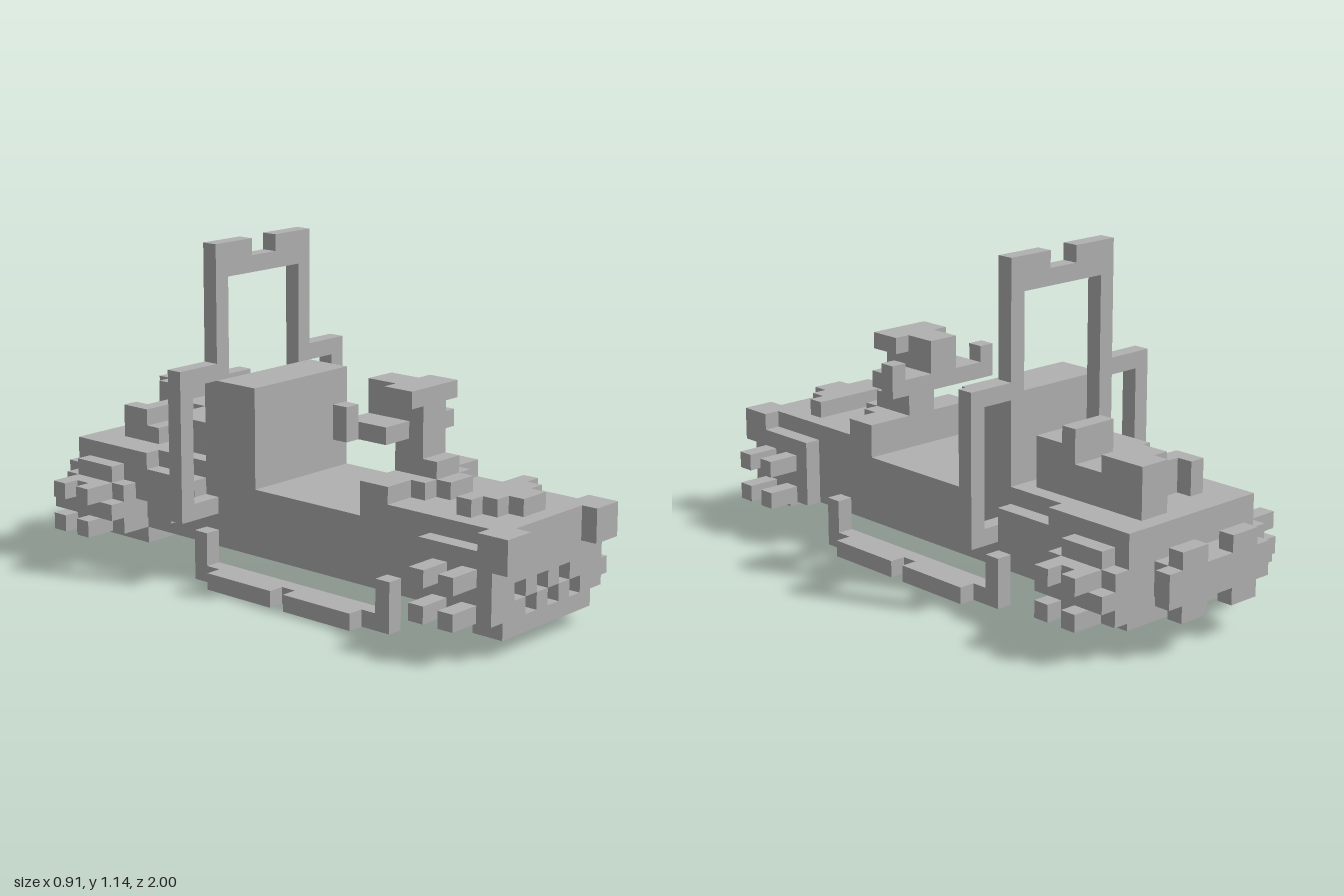
import * as THREE from 'three';

const U = 2 / 35; // edge of one cube

export function createModel() {
  const root = new THREE.Group();
  root.name = 'blockVehicle';
  const grey = new THREE.MeshStandardMaterial({ color: 0xb0b0b0 });
  grey.name = 'grey';

  const part = (name) => {
    const g = new THREE.Group();
    g.name = name;
    root.add(g);
    return g;
  };
  // Box from cube ranges; d counts cubes back from the front end
  const box = (g, x0, x1, y0, y1, d0, d1) => {
    const m = new THREE.Mesh(
      new THREE.BoxGeometry((x1 - x0) * U, (y1 - y0) * U, (d1 - d0) * U), grey);
    m.position.set((x0 + x1) / 2 * U, (y0 + y1) / 2 * U, 1 - (d0 + d1) / 2 * U);
    m.name = g.name + 'Block';
    g.add(m);
  };
  const pair = (g, x0, x1, ...r) => {
    box(g, x0, x1, ...r);
    box(g, -x1, -x0, ...r);
  };

  // Main hull, with a ribbed underside
  const hull = part('hull');
  box(hull, -4, 4, 3, 6, 6, 28);
  pair(hull, 3, 4, 2, 3, 6, 28);
  for (const d of [6, 11, 16, 21, 26]) box(hull, -3, 3, 2, 3, d, d + (d === 26 ? 2 : 1));

  // Nose with a zigzag grille cut into its face
  const nose = part('nose');
  box(nose, -4, 4, 2, 7, 2, 6);
  box(nose, -4, 4, 6, 7, 6, 11);
  box(nose, -5, 5, 4, 7, 1, 2);
  pair(nose, 3, 5, 2, 4, 1, 2);
  for (const x of [-3, -1, 1]) {
    box(nose, x, x + 1, 2, 3, 1, 2);
    box(nose, x + 1, x + 2, 3, 4, 1, 2);
  }
  pair(nose, 4, 5, 2, 6, 2, 6);
  box(nose, -4, 4, 1, 2, 1, 3);

  const headlight = part('headlights');
  pair(headlight, 3, 5, 5, 7, 0, 2);

  // Stepped hood ornament
  const hood = part('hoodPlate');
  for (let i = 0; i < 3; i++) box(hood, -1 - i, 1 + i, 7, 8, 2 + i, 3 + i);

  // Side prongs, front and rear
  const prongs = part('prongs');
  for (const y of [2, 4]) for (const i of [0, 2]) {
    pair(prongs, 5, 7, y, y + 1, 2 + i, 3 + i);
    pair(prongs, 7, 8, y, y + 1, 29 + i, 30 + i);
  }

  // Steering column and handlebar
  const steering = part('steering');
  box(steering, -1, 1, 7, 8, 7, 11);
  pair(steering, 1, 2, 7, 8, 8, 11);
  pair(steering, 2, 4, 7, 8, 9, 11);
  box(steering, -1, 1, 8, 9, 8, 11);
  box(steering, -1, 1, 9, 13, 9, 11);
  box(steering, -1, 1, 10, 13, 11, 13);
  pair(steering, 1, 2, 12, 13, 9, 11);
  pair(steering, 1, 3, 10, 11, 10, 13);
  pair(steering, 3, 4, 10, 12, 12, 13);

  const seat = part('seatBack');
  box(seat, -4, 4, 6, 12, 19, 22);

  // Tall roll frame with side wings
  const frame = part('rollFrame');
  pair(frame, 3, 4, 6, 19, 22, 23);
  box(frame, -4, 4, 18, 19, 22, 23);
  pair(frame, 1, 4, 19, 20, 22, 23);
  pair(frame, 4, 7, 12, 13, 22, 23);
  pair(frame, 6, 7, 4, 12, 22, 23);
  pair(frame, 4, 6, 4, 5, 22, 23);

  // Low running boards hung from short posts
  const boards = part('runningBoards');
  pair(boards, 4, 5, 0, 1, 8, 23);
  pair(boards, 5, 6, 0, 1, 10, 15);
  pair(boards, 5, 6, 0, 1, 16, 21);
  for (const d of [8, 22]) pair(boards, 4, 5, 1, 3, d, d + 1);

  // Rear body
  const rear = part('rearBody');
  box(rear, -4, 4, 6, 7, 23, 28);
  box(rear, -5, 5, 2, 7, 28, 33);
  pair(rear, 4, 5, 4, 6, 23, 27);
  pair(rear, 4, 5, 3, 4, 25, 27);
  pair(rear, 4, 5, 4, 7, 27, 28);
  box(rear, -4, 4, 1, 2, 28, 32);

  // Side pods behind the rear prongs
  const pods = part('sidePods');
  pair(pods, 5, 6, 2, 6, 29, 32);
  pair(pods, 5, 6, 2, 5, 28, 33);
  pair(pods, 6, 7, 2, 5, 29, 32);
  for (const d of [28, 32]) pair(pods, 6, 7, 3, 4, d, d + 1);

  // Uneven engine blocks on the rear deck
  const engine = part('engine');
  box(engine, -3, 3, 7, 9, 24, 27);
  box(engine, 0, 3, 9, 10, 24, 26);
  box(engine, 0, 3, 9, 11, 26, 27);
  box(engine, -3, 3, 7, 8, 28, 29);
  box(engine, 0, 3, 7, 9, 27, 29);
  box(engine, 0, 3, 7, 10, 29, 31);
  box(engine, 1, 3, 7, 10, 31, 32);
  box(engine, -3, -1, 7, 9, 29, 30);
  box(engine, -3, -2, 7, 9, 30, 31);
  box(engine, -1, 0, 7, 9, 28, 30);

  // Cross-shaped tail exhausts
  const tail = part('tail');
  box(tail, -3, 3, 3, 5, 33, 34);
  box(tail, -4, 4, 3, 5, 34, 35);
  pair(tail, 1, 3, 2, 6, 34, 35);

  return root;
}
